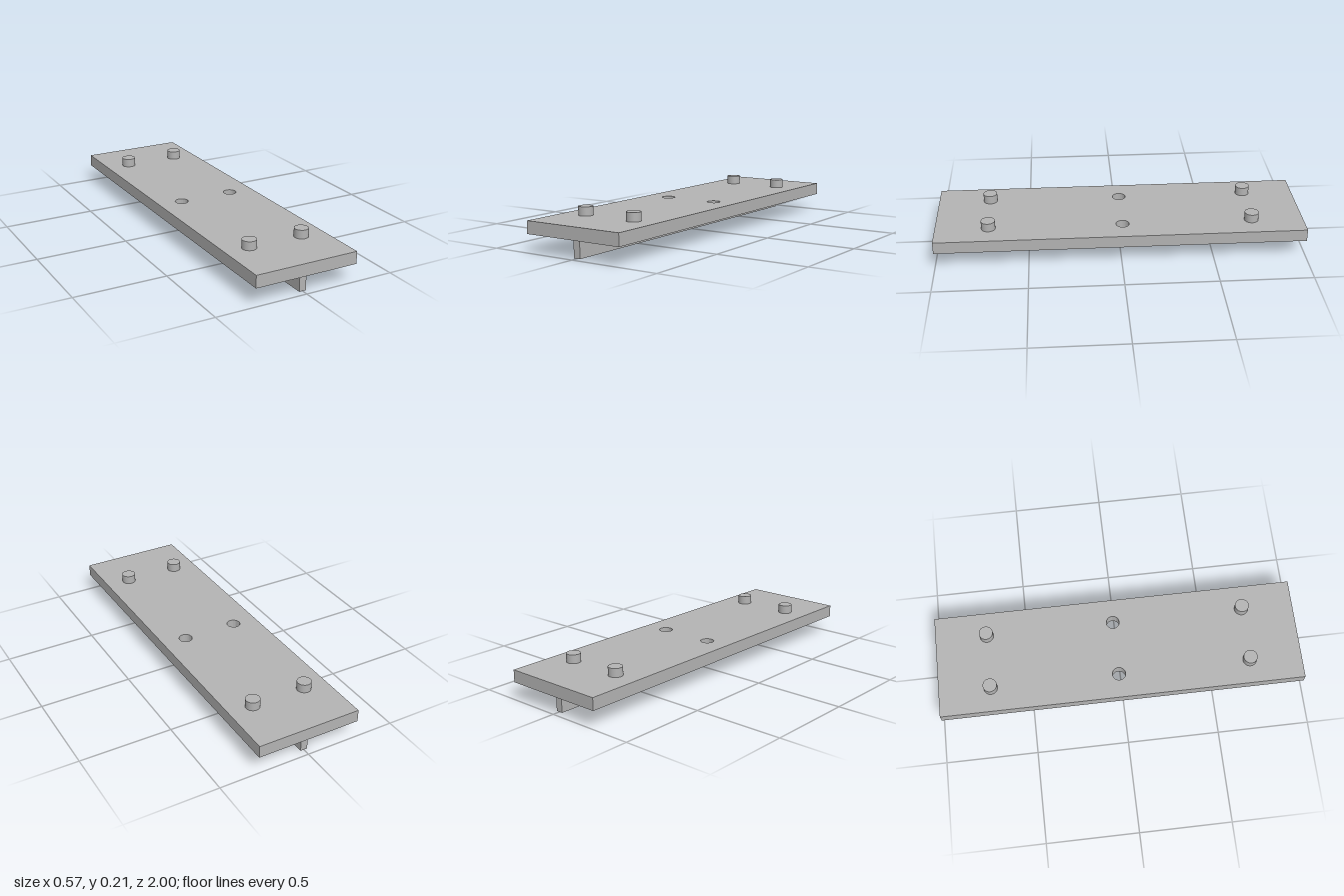
import * as THREE from 'three';
import { toCreasedNormals } from 'three/addons/utils/BufferGeometryUtils.js';

const HALF_W = 0.286, PLATE_Y = 0.096, PLATE_H = 0.067, PEG_X = 0.152;

export function createModel() {
  const model = new THREE.Group();
  const grey = new THREE.MeshStandardMaterial({ color: 0xb3b3b3 });
  grey.name = 'grey';

  const add = (name, geometry, x, y, z) => {
    const mesh = new THREE.Mesh(geometry, grey);
    mesh.name = name;
    mesh.position.set(x, y, z);
    model.add(mesh);
  };

  // Flat plate with two through holes near its middle
  const outline = new THREE.Shape([
    new THREE.Vector2(-HALF_W, -1), new THREE.Vector2(HALF_W, -1),
    new THREE.Vector2(HALF_W, 1), new THREE.Vector2(-HALF_W, 1),
  ]);
  for (const side of [-1, 1]) {
    outline.holes.push(new THREE.Path().absarc(side * PEG_X, 0.012, 0.036, 0, Math.PI * 2, true));
  }
  const plate = new THREE.ExtrudeGeometry(outline, { depth: PLATE_H, bevelEnabled: false, curveSegments: 48 });
  plate.rotateX(-Math.PI / 2);
  add('plate', toCreasedNormals(plate, 0.6), 0, PLATE_Y, 0);

  // Locating pegs near the four corners
  const pegH = 0.21 - PLATE_Y - PLATE_H;
  const peg = new THREE.CylinderGeometry(0.038, 0.038, pegH, 48);
  for (const x of [-PEG_X, PEG_X]) {
    for (const z of [-0.716, 0.712]) add('peg', peg, x, PLATE_Y + PLATE_H + pegH / 2, z);
  }

  // Long rib under the plate
  add('rib', new THREE.BoxGeometry(0.038, PLATE_Y, 1.922), 0, PLATE_Y / 2, 0.002);

  return model;
}
